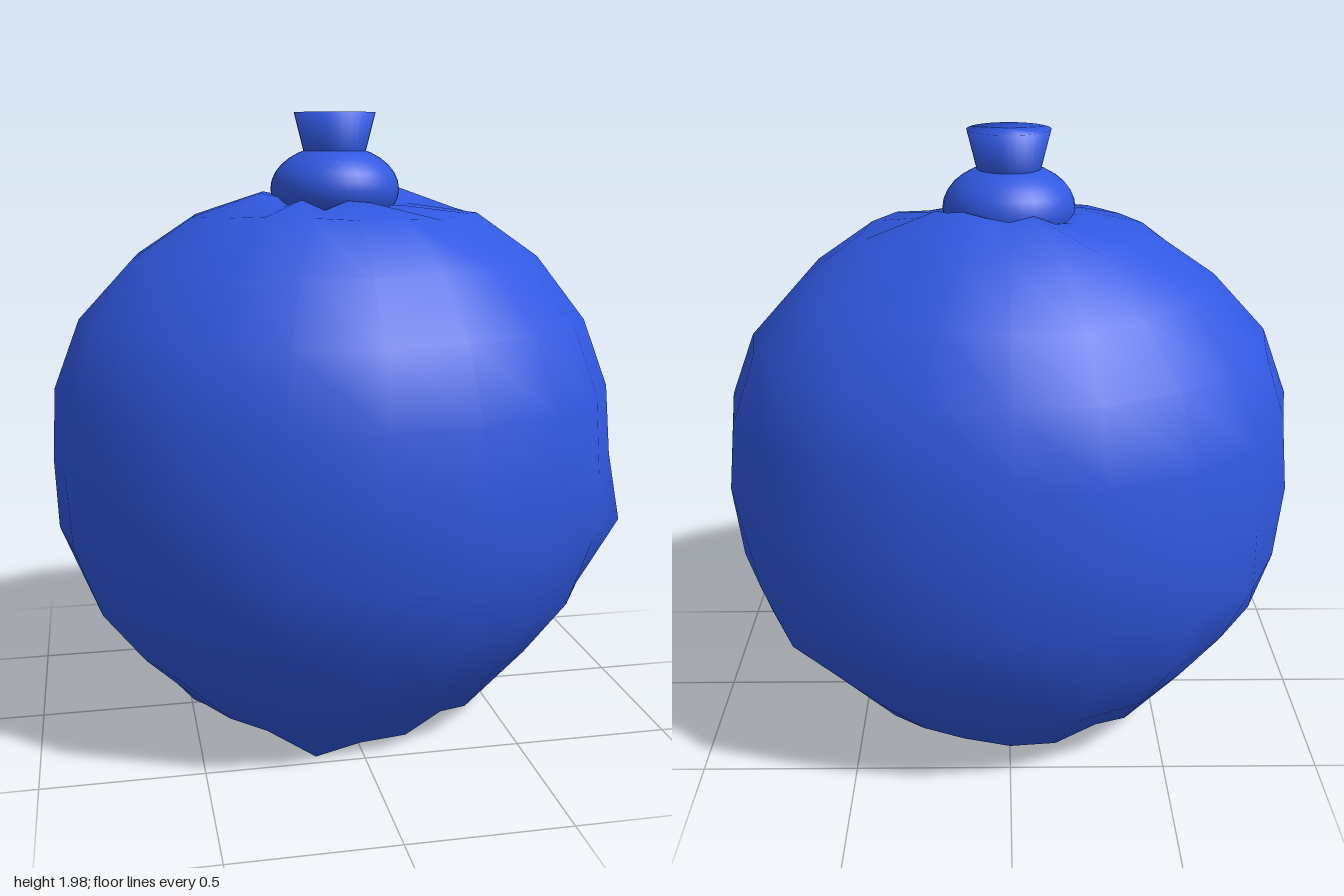
import * as THREE from 'three';
import { mergeVertices } from 'three/addons/utils/BufferGeometryUtils.js';

// Repeatable noise in -1..1
function makeNoise(seed) {
  let s = seed;
  return () => {
    s = (s * 16807) % 2147483647;
    return (s / 2147483647) * 2 - 1;
  };
}

// Outward swelling of each ring, from the gathered top to the base
const SWELL = [1, 1, 1, 1.015, 1.04, 1.02, 1.01, 1.03, 1.05, 1.075, 1.07, 1, 1];

// Single bulges: ring, angle in degrees from +x towards +z, extra swelling
const BULGES = [
  [7, 18, 0.05], [7, -36, 0.04], [7, -54, 0.05], [8, -36, 0.03],
  [7, -126, 0.03], [7, -144, 0.03], [8, 126, 0.02], [4, 126, 0.02],
];

// Lumpy sack: a coarse sphere with a crumpled base and a gathered top
function sackGeometry() {
  const ball = new THREE.SphereGeometry(1, 20, 12);
  ball.deleteAttribute('uv');
  ball.deleteAttribute('normal');
  const geo = mergeVertices(ball, 1e-4);
  const pos = geo.attributes.position;
  const noise = makeNoise(4217);
  for (let i = 0; i < pos.count; i++) {
    const ux = pos.getX(i), uy = pos.getY(i), uz = pos.getZ(i);
    const row = Math.round((Math.acos(THREE.MathUtils.clamp(uy, -1, 1)) / Math.PI) * 12);
    const angle = Math.round(THREE.MathUtils.radToDeg(Math.atan2(uz, ux)));
    const bulge = BULGES.find(([r, a]) => r === row && a === angle);
    const swell = SWELL[row] + (bulge ? bulge[2] : 0) + noise() * 0.01;
    let x = ux * 0.915 * swell, z = uz * 0.805 * swell;
    let y = 0.905 + 0.9 * uy + noise() * 0.01;
    if (row === 0) y = 1.71;
    if (row === 1) y = 1.74 - uz * 0.1 + noise() * 0.025;
    if (row === 10) y = 0.055 + noise() * 0.025;
    if (row === 11) y = 0.05 + noise() * 0.025;
    if (row === 12) y = 0.1;
    // Pinched corner under the front
    if (row === 10 && angle === 108) {
      y = 0.02;
      z = 0.46;
    }
    pos.setXYZ(i, x, Math.max(y, 0), z);
  }
  geo.computeVertexNormals();
  return geo;
}

export function createModel() {
  const group = new THREE.Group();
  const blue = new THREE.MeshStandardMaterial({ color: 0x3058e0 });
  blue.name = 'blue plastic';

  const add = (name, geometry, y = 0) => {
    const mesh = new THREE.Mesh(geometry, blue);
    mesh.name = name;
    mesh.position.y = y;
    group.add(mesh);
  };

  add('sack', sackGeometry());

  // Squashed ball where the neck is tied
  add('knot', new THREE.SphereGeometry(0.207, 32, 16).scale(1, 0.67, 1), 1.76);

  // Flared end above the knot
  const flare = [[0.085, 1.82], [0.1, 1.88], [0.13, 2], [0, 2]];
  add('flaredNeck', new THREE.LatheGeometry(flare.map(([r, y]) => new THREE.Vector2(r, y)), 32));

  return group;
}
